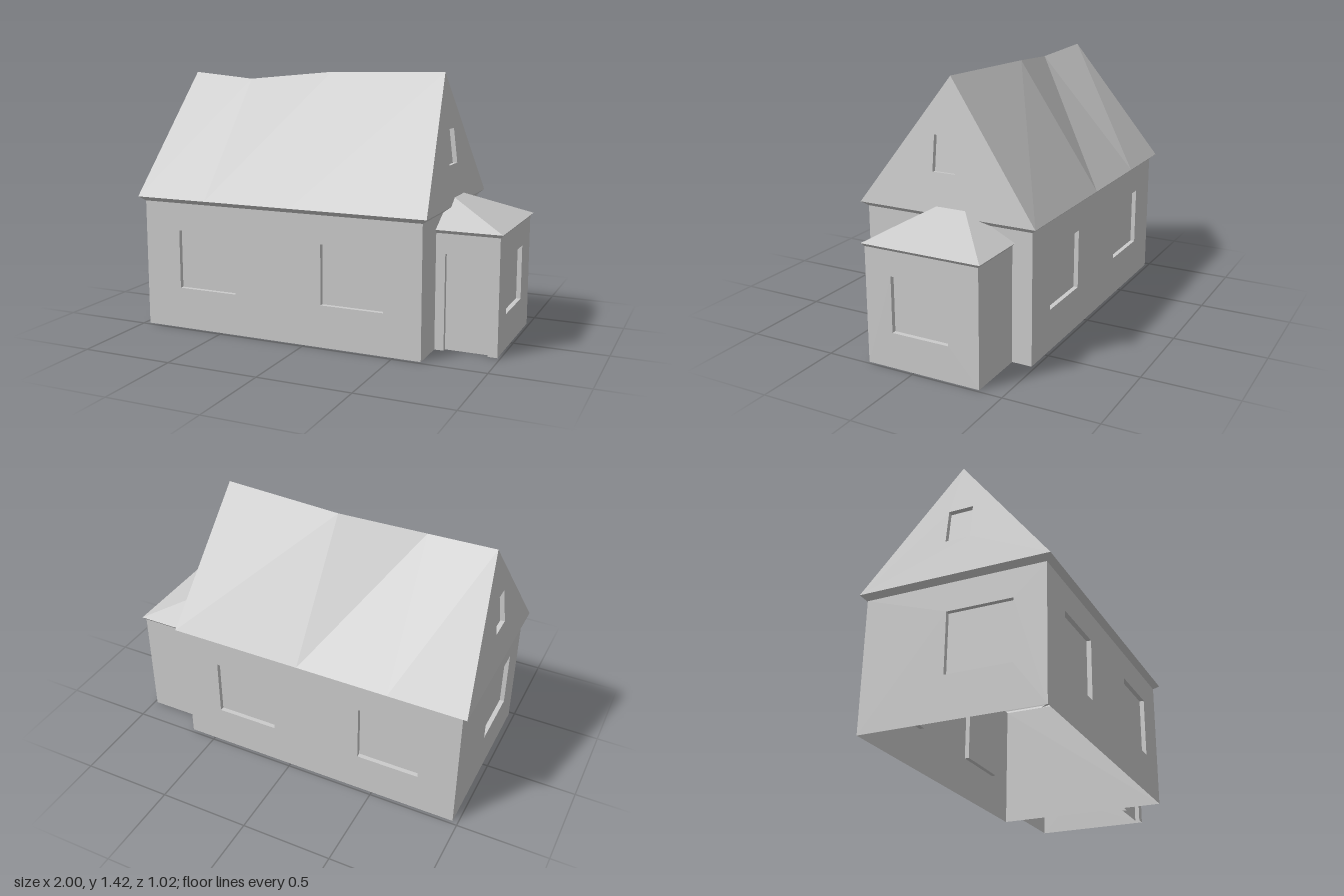
import * as THREE from 'three';
import { mergeGeometries } from 'three/addons/utils/BufferGeometryUtils.js';

const DEPTH = 0.025; // recess of windows and door
const V = (x, y, z) => new THREE.Vector3(x, y, z);
const material = new THREE.MeshStandardMaterial({ color: 0xcccccc, flatShading: true, side: THREE.DoubleSide });

// Flat-sided surface from convex polygons, corners counter-clockwise seen from outside
function facets(polygons) {
  const points = [];
  for (const p of polygons)
    for (let i = 1; i < p.length - 1; i++) points.push(p[0], p[i], p[i + 1]);
  const geometry = new THREE.BufferGeometry().setFromPoints(points);
  geometry.computeVertexNormals();
  return geometry;
}

// Strip of quads between two rows of points
const strip = (low, high) =>
  low.slice(1).map((p, i) => [low[i], p, high[i + 1], high[i]]);

// Wall panel in its own (u, v) plane with recessed rectangles [u0, v0, u1, v1]
function panel(name, origin, u, v, outline, windows = [], door = null) {
  const points = outline.map(([x, y]) => new THREE.Vector2(x, y));
  if (door) { // a door cuts the bottom edge, between the first two corners
    const [a, b, c, d] = door;
    points.splice(1, 0, ...[[a, b], [a, d], [c, d], [c, b]].map(([x, y]) => new THREE.Vector2(x, y)));
  }
  const shape = new THREE.Shape(points);
  const polygons = [];
  for (const r of door ? [...windows, door] : windows) {
    const [a, b, c, d] = r;
    const corners = [[a, b], [c, b], [c, d], [a, d]];
    if (r !== door) shape.holes.push(new THREE.Path(corners.map(([x, y]) => new THREE.Vector2(x, y)).reverse()));
    const front = corners.map(([x, y]) => V(x, y, 0));
    const back = corners.map(([x, y]) => V(x, y, -DEPTH));
    polygons.push(back);
    for (let i = r === door ? 1 : 0; i < 4; i++) {
      const j = (i + 1) % 4;
      polygons.push([front[i], front[j], back[j], back[i]]);
    }
  }
  const parts = [new THREE.ShapeGeometry(shape).toNonIndexed()];
  parts[0].deleteAttribute('uv');
  if (polygons.length) parts.push(facets(polygons));
  const geometry = mergeGeometries(parts);
  const n = u.clone().cross(v).normalize();
  geometry.applyMatrix4(new THREE.Matrix4().makeBasis(u, v, n).setPosition(origin));
  const mesh = new THREE.Mesh(geometry, material);
  mesh.name = name;
  return mesh;
}

function surface(name, polygons) {
  const mesh = new THREE.Mesh(facets(polygons), material);
  mesh.name = name;
  return mesh;
}

const rect = (w, h) => [[0, 0], [w, 0], [w, h], [0, h]];

// Closed rectangle of points at height y, counter-clockwise from above
const loop = (x0, x1, z0, z1, y) =>
  [V(x0, y, z1), V(x1, y, z1), V(x1, y, z0), V(x0, y, z0), V(x0, y, z1)];

export function createModel() {
  const house = new THREE.Group();
  house.name = 'house';
  const X = V(1, 0, 0), Y = V(0, 1, 0), Z = V(0, 0, 1);
  const back = X.clone().negate(), right = Z.clone().negate();

  // Main walls
  const x0 = -0.97, x1 = 0.65, zw = 0.48, h = 0.705;
  const w = x1 - x0, win = (a) => [a, 0.228, a + 0.348, 0.553];
  const main = new THREE.Group();
  main.name = 'mainWalls';
  main.add(
    panel('frontWall', V(x0, 0, zw), X, Y, rect(w, h), [win(-0.758 - x0), win(0.097 - x0)]),
    panel('backWall', V(x1, 0, -zw), back, Y, rect(w, h), [win(x1 - 0.445), win(x1 + 0.41)]),
    panel('leftEndWall', V(x1, 0, zw), right, Y, rect(2 * zw, h)),
    panel('rightEndWall', V(x0, 0, -zw), Z, Y, rect(2 * zw, h), [win(zw - 0.035)]),
  );

  // Main roof: flared eaves, two slopes up to a sagging ridge, leaning gables
  const e0 = -1, e1 = 0.68, ze = 0.51, ye = 0.73;
  const ridge = [V(-0.917, 1.395, 0), V(-0.535, 1.365, 0.04), V(-0.075, 1.408, -0.042), V(0.597, 1.42, 0)];
  const eave = (z) => ridge.map((p) =>
    V(THREE.MathUtils.mapLinear(p.x, ridge[0].x, ridge[3].x, e0, e1), ye, z));
  const roof = new THREE.Group();
  roof.name = 'mainRoof';
  roof.add(
    surface('eaves', strip(loop(x0, x1, -zw, zw, h), loop(e0, e1, -ze, ze, ye))),
    surface('frontSlope', strip(eave(ze), ridge)),
    surface('backSlope', strip(eave(-ze).reverse(), [...ridge].reverse())),
  );
  for (const [name, x, top, u] of [['leftGable', e1, ridge[3], right], ['rightGable', e0, ridge[0], Z]]) {
    const origin = V(x, ye, 0);
    const slope = top.clone().sub(origin);
    const c = u.z * 0.012; // attic window sits slightly off centre
    roof.add(panel(name, origin, u, slope.clone().normalize(),
      [[-ze, 0], [ze, 0], [0, slope.length()]], [[c - 0.066, 0.212, c + 0.066, 0.398]]));
  }

  // Porch walls
  const px = 0.985, pz0 = -0.37, pz1 = 0.268, ph = 0.62, pw = px - x1;
  const porch = new THREE.Group();
  porch.name = 'porch';
  porch.add(
    panel('porchFrontWall', V(x1, 0, pz1), X, Y, rect(pw, ph), [], [0.7 - x1, 0, 0.935 - x1, 0.515]),
    panel('porchEndWall', V(px, 0, pz1), right, Y, rect(pz1 - pz0, ph), [[pz1 - 0.12, 0.19, pz1 + 0.2, 0.488]]),
    panel('porchBackWall', V(px, 0, pz0), back, Y, rect(pw, ph)),
  );

  // Porch hipped roof, running into the gable
  const low = loop(x1, px, pz0, pz1, ph).slice(0, 4);
  const rim = loop(x1, 1, -0.385, 0.28, 0.637).slice(0, 4);
  const topFront = V(x1, 0.779, 0.028), topBack = V(x1, 0.779, -0.1);
  porch.add(
    surface('porchEaves', strip(low, rim)),
    surface('porchRoof', [
      [rim[0], rim[1], topFront],
      [rim[1], rim[2], topBack, topFront],
      [rim[2], rim[3], topBack],
    ]),
  );

  house.add(main, roof, porch);
  return house;
}
